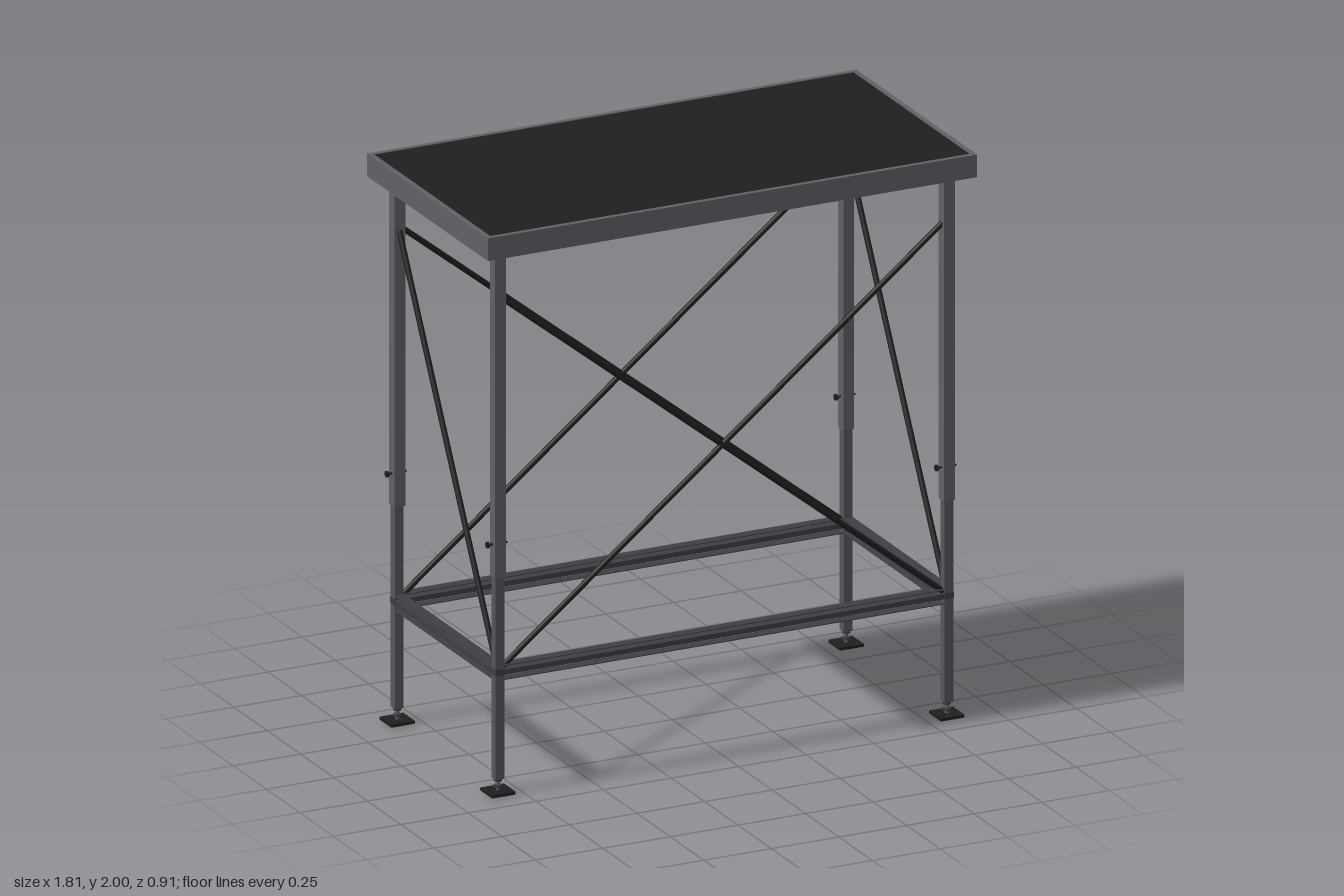
import * as THREE from 'three';

const mat = (name, color) => {
  const m = new THREE.MeshStandardMaterial({ color });
  m.name = name;
  return m;
};

export function createModel() {
  const model = new THREE.Group();
  model.name = 'workTable';
  const grey = mat('frame grey', 0x606167);
  const steel = mat('lower leg grey', 0x54565b);
  const dark = mat('rail grey', 0x3d3f44);
  const black = mat('matte black', 0x1f1f1f);

  const add = (name, geometry, material, x, y, z, parent = model) => {
    const mesh = new THREE.Mesh(geometry, material);
    mesh.name = name;
    mesh.position.set(x, y, z);
    parent.add(mesh);
    return mesh;
  };
  const box = (name, w, h, d, material, x, y, z, parent) =>
    add(name, new THREE.BoxGeometry(w, h, d), material, x, y, z, parent);

  const HX = 0.905, HZ = 0.453; // half size of the table
  const LX = 0.83, LZ = 0.377; // leg centres

  // Table rim: a hollow rectangle extruded upwards
  const rect = (P, x, z) => {
    const p = new P();
    p.moveTo(-x, -z); p.lineTo(x, -z); p.lineTo(x, z); p.lineTo(-x, z); p.closePath();
    return p;
  };
  const rimShape = rect(THREE.Shape, HX, HZ);
  rimShape.holes.push(rect(THREE.Path, HX - 0.018, HZ - 0.018));
  const rim = new THREE.ExtrudeGeometry(rimShape, { depth: 0.08, bevelEnabled: false });
  rim.rotateX(-Math.PI / 2);
  add('tableRim', rim, grey, 0, 1.92, 0);
  box('tableTop', 2 * HX - 0.034, 0.018, 2 * HZ - 0.034, black, 0, 1.989, 0);

  // Inner lips and cross members under the top
  for (const s of [-1, 1]) {
    box('longLip', 2 * HX - 0.036, 0.006, 0.03, grey, 0, 1.925, s * (HZ - 0.033));
    box('shortLip', 0.03, 0.006, 2 * HZ - 0.096, grey, s * (HX - 0.033), 1.925, 0);
  }
  for (const x of [-0.45, 0, 0.45])
    box('crossMember', 0.035, 0.04, 2 * HZ - 0.036, grey, x, 1.96, 0);

  // Telescopic legs with levelling feet
  const stem = new THREE.CylinderGeometry(0.007, 0.007, 0.05, 16);
  const nut = new THREE.CylinderGeometry(0.014, 0.014, 0.01, 6);
  const pin = new THREE.CylinderGeometry(0.004, 0.004, 0.075, 12).rotateZ(Math.PI / 2);
  const knob = new THREE.CylinderGeometry(0.011, 0.011, 0.008, 16).rotateZ(Math.PI / 2);
  for (const sx of [-1, 1]) for (const sz of [-1, 1]) {
    const leg = new THREE.Group();
    leg.name = 'leg';
    leg.position.set(sx * LX, 0, sz * LZ);
    model.add(leg);
    box('upperLeg', 0.04, 1.15, 0.04, grey, 0, 1.345, 0, leg);
    box('lowerLeg', 0.032, 0.75, 0.032, steel, 0, 0.43, 0, leg);
    box('topFlange', 0.06, 0.009, 0.06, black, 0, 1.916, 0, leg);
    box('cornerPlate', 0.12, 0.006, 0.12, black, -sx * 0.005, 1.932, -sz * 0.005, leg);
    box('railCollar', 0.036, 0.022, 0.036, dark, 0, 0.433, 0, leg);
    box('footPlate', 0.088, 0.01, 0.088, black, 0, 0.009, 0, leg);
    box('footPad', 0.07, 0.004, 0.07, black, 0, 0.002, 0, leg);
    add('footStem', stem, grey, 0, 0.038, 0, leg);
    add('footNut', nut, dark, 0, 0.028, 0, leg);
    add('footNut', nut, dark, 0, 0.05, 0, leg);
    add('lockingPin', pin, black, -0.004, 0.885, 0, leg);
    add('pinKnob', knob, black, -0.038, 0.885, 0, leg);
  }

  // Lower rails: a middle web between two thin flanges
  const rail = (length, x, z, turn) => {
    const g = new THREE.Group();
    g.name = 'lowerRail';
    g.position.set(x, 0.431, z);
    g.rotation.y = turn;
    box('railCore', length, 0.018, 0.034, dark, 0, 0.001, 0, g);
    for (const s of [-1, 1])
      box('railFlange', length, 0.003, 0.036, dark, 0, s * 0.0245, 0, g);
    model.add(g);
  };
  for (const s of [-1, 1]) {
    rail(2 * LX - 0.03, 0, s * LZ, 0);
    rail(2 * LZ - 0.03, s * LX, 0, Math.PI / 2);
  }

  // Diagonal braces
  const brace = (a, b) => {
    const from = new THREE.Vector3(...a), to = new THREE.Vector3(...b);
    const dir = to.clone().sub(from);
    const mesh = add('diagonalBrace', new THREE.CylinderGeometry(0.01, 0.01, dir.length(), 12), black, 0, 0, 0);
    mesh.position.addVectors(from, to).multiplyScalar(0.5);
    mesh.quaternion.setFromUnitVectors(new THREE.Vector3(0, 1, 0), dir.normalize());
  };
  for (const s of [-1, 1]) {
    for (const t of [-1, 1])
      brace([t * 0.815, 0.447, s * LZ], [-t * 0.815, 1.75, s * LZ]);
    brace([s * LX, 0.447, 0.368], [s * LX, 1.745, -0.362]);
  }
  return model;
}
